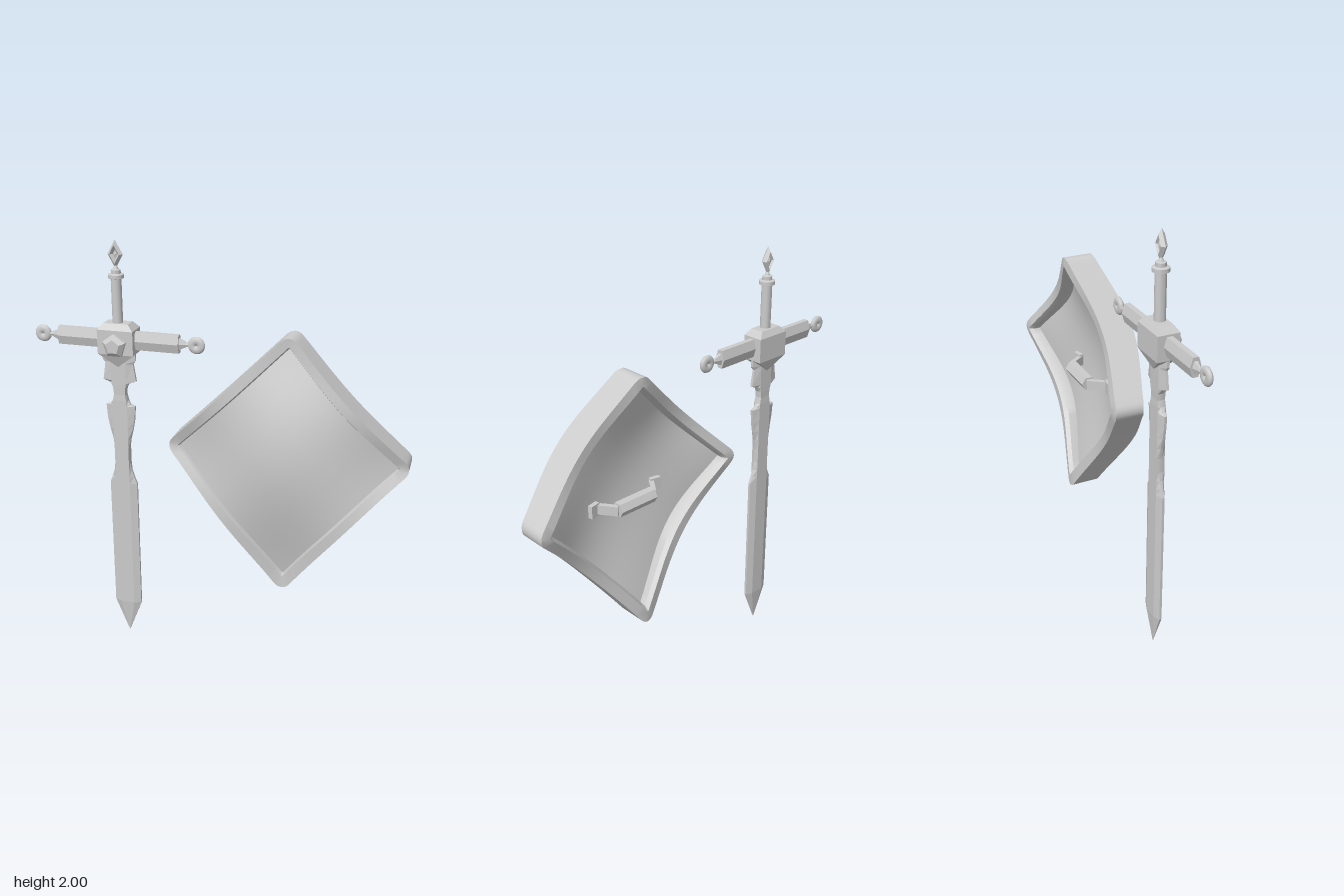
import * as THREE from 'three';
import { toCreasedNormals } from 'three/addons/utils/BufferGeometryUtils.js';

const smooth = new THREE.MeshStandardMaterial({ color: 0xcccccc });
const faceted = new THREE.MeshStandardMaterial({ color: 0xcccccc, flatShading: true });

function add(parent, name, geometry, material, x = 0, y = 0, z = 0) {
  const mesh = new THREE.Mesh(geometry, material);
  mesh.name = name;
  mesh.position.set(x, y, z);
  parent.add(mesh);
  return mesh;
}

// Skin a list of equal-length rings; optionally join the last ring to the first
function loft(rings, closed = false) {
  const n = rings[0].length, index = [];
  const last = closed ? rings.length : rings.length - 1;
  for (let i = 0; i < last; i++) {
    const k = (i + 1) % rings.length;
    for (let j = 0; j < n; j++) {
      const m = (j + 1) % n;
      const a = i * n + j, b = i * n + m, c = k * n + m, d = k * n + j;
      index.push(a, b, c, a, c, d);
    }
  }
  const g = new THREE.BufferGeometry();
  g.setAttribute('position', new THREE.Float32BufferAttribute(rings.flat(2), 3));
  g.setIndex(index);
  return toCreasedNormals(g, 0.5);
}

// ---------- Shield ----------
const HALF = 0.4;

// Turn a square into a diamond whose lower half is stretched
function diamond(a, b) {
  const x = (a - b) * Math.SQRT1_2, y = (a + b) * Math.SQRT1_2;
  return [x, y < 0 ? y - 0.41 * y * y : y];
}

// Forward bow along a side: 1 in the middle, 0 at the corners
const bowAt = (t) => 0.5 * (1 - t * t) + 0.25 * (1 + Math.cos(Math.PI * t));

// Rounded diamond ring whose sides bow forward
function rimRing([half, r, zCorner, bow]) {
  const c = half - r, ring = [], flat = [];
  for (let i = 0; i <= 6; i++) {
    const t = (i / 6) * Math.PI / 2;
    flat.push([c + r * Math.cos(t), c + r * Math.sin(t)]);
  }
  for (let i = 1; i < 20; i++) flat.push([c - 2 * c * i / 20, half]);
  for (let k = 0; k < 4; k++) {
    const co = [1, 0, -1, 0][k], si = [0, 1, 0, -1][k];
    for (const [p, q] of flat) {
      const a = p * co - q * si, b = p * si + q * co;
      const t = Math.min(Math.abs(a), Math.abs(b)) / half;
      ring.push([...diamond(a, b), zCorner + bow * bowAt(t)]);
    }
  }
  return ring;
}

function makeShield() {
  const shield = new THREE.Group();
  shield.name = 'shield';
  shield.position.set(0.334, 1.09, 0);

  // Section: half size, corner radius, z at corners, forward bow
  const section = [
    [HALF, 0.05, -0.118, 0.06], [HALF, 0.05, 0.015, 0.075],
    [0.358, 0.006, 0.015, 0.075], [0.347, 0.004, -0.012, 0.075],
    [0.347, 0.004, -0.095, 0.06], [0.358, 0.006, -0.118, 0.06],
  ];
  add(shield, 'shieldRim', loft(section.map(rimRing), true), smooth);

  // Domed panel
  const panel = new THREE.BoxGeometry(0.704, 0.704, 0.065, 28, 28, 1);
  const p = panel.attributes.position;
  for (let i = 0; i < p.count; i++) {
    const a = p.getX(i), b = p.getY(i);
    const u = bowAt(a / 0.352), v = bowAt(b / 0.352);
    const z = 0.073 * (u + v) - 0.03 * u * v;
    p.setXYZ(i, ...diamond(a, b), z + p.getZ(i) - 0.0325);
  }
  panel.computeVertexNormals();
  add(shield, 'shieldPanel', panel, smooth);

  // Handle on the back: thick grip, slanted arms, foot plates
  const handle = new THREE.Group();
  handle.name = 'shieldHandle';
  handle.position.set(0, -0.06, -0.035);
  shield.add(handle);
  const grip = add(handle, 'handleGrip', new THREE.CylinderGeometry(0.035, 0.035, 0.2, 6), faceted, 0, 0, -0.012);
  grip.rotation.z = Math.PI / 2;
  for (const s of [-1, 1]) {
    const arm = add(handle, 'handleArm', new THREE.BoxGeometry(0.1, 0.045, 0.022), faceted, s * 0.13, 0, 0.02);
    arm.rotation.y = -s * -0.95;
    const foot = add(handle, 'handleFoot', new THREE.BoxGeometry(0.05, 0.06, 0.022), faceted, s * 0.175, 0, 0.055);
    foot.rotation.y = s * 0.2;
    arm.rotation.y = -s * 0.95;
  }
  return shield;
}

// ---------- Sword ----------
function makeSword() {
  const sword = new THREE.Group();
  sword.name = 'sword';
  sword.position.set(-0.467, 0, -0.047);

  // Blade stations: height, half width
  const stations = [
    [0.005, 0.001], [0.18, 0.068], [0.84, 0.068], [0.875, 0.054], [0.91, 0.043],
    [0.95, 0.037], [1.02, 0.037], [1.07, 0.044], [1.12, 0.057], [1.17, 0.066], [1.235, 0.071],
    [1.24, 0.05], [1.26, 0.036], [1.29, 0.029], [1.32, 0.031], [1.345, 0.045],
    [1.358, 0.08], [1.44, 0.067], [1.455, 0.08], [1.5, 0.08],
  ];
  const blade = stations.map(([y, w]) => {
    const c = Math.min(0.035, w * 0.93), h = Math.min(0.019, w * 0.6), e = h * 0.3;
    return [[w, y, e], [w, y, -e], [c, y, -h], [-c, y, -h], [-w, y, -e], [-w, y, e], [-c, y, h], [c, y, h]];
  });
  add(sword, 'blade', loft(blade), faceted);

  // Guard block with sloped top and pointed base: height, half width, half depth
  const block = [
    [1.425, 0.001, 0.022], [1.49, 0.085, 0.05], [1.602, 0.085, 0.05],
    [1.63, 0.058, 0.032], [1.63, 0.001, 0.001],
  ].map(([y, w, d]) => [[w, y, d], [w, y, -d], [-w, y, -d], [-w, y, d]]);
  add(sword, 'guardBlock', loft(block), faceted, 0, 0, -0.003);

  // Five-sided gem on the front
  const gemProfile = [[0.057, 0], [0.057, 0.018], [0.034, 0.037], [0, 0.037]].map(([x, y]) => new THREE.Vector2(x, y));
  const gem = add(sword, 'gem', new THREE.LatheGeometry(gemProfile, 5, Math.PI), faceted, 0, 1.535, 0.046);
  gem.rotation.x = Math.PI / 2;

  // Cross guard: six-sided arms, tapered necks and ring ends
  for (const s of [-1, 1]) {
    const arm = new THREE.Group();
    arm.name = s > 0 ? 'leftGuardArm' : 'rightGuardArm';
    arm.position.y = 1.552;
    arm.rotation.z = -s * Math.PI / 2;
    sword.add(arm);
    const bar = add(arm, 'guardBar', new THREE.CylinderGeometry(0.048, 0.048, 0.24, 6), faceted, 0, 0.17, 0);
    const taper = add(arm, 'guardTaper', new THREE.CylinderGeometry(0.008, 0.03, 0.042, 6), faceted, 0, 0.311, 0);
    bar.scale.z = taper.scale.z = 0.52;
    add(arm, 'guardNeck', new THREE.CylinderGeometry(0.008, 0.008, 0.03, 12), smooth, 0, 0.335, 0);
    const ring = add(arm, 'guardRing', new THREE.TorusGeometry(0.0205, 0.0195, 12, 28), smooth, 0, 0.37, 0);
    ring.scale.z = 0.65;
  }

  // Grip with stepped collar
  const profile = [
    [0, 1.6], [0.024, 1.6], [0.024, 1.828], [0.036, 1.832], [0.036, 1.848], [0.022, 1.852],
    [0.022, 1.868], [0.012, 1.872], [0.007, 1.885], [0, 1.9],
  ].map(([x, y]) => new THREE.Vector2(x, y));
  add(sword, 'grip', toCreasedNormals(new THREE.LatheGeometry(profile, 24), 0.5), smooth);

  // Diamond finial with a recessed middle
  const frame = add(sword, 'finialFrame', new THREE.TorusGeometry(0.023, 0.013, 4, 4), faceted, 0, 1.936, 0);
  frame.scale.set(1, 1.78, 1.1);
  const core = add(sword, 'finialCore', new THREE.OctahedronGeometry(0.022), faceted, 0, 1.936, -0.004);
  core.scale.set(1, 1.78, 0.4);
  return sword;
}

export function createModel() {
  const model = new THREE.Group();
  model.name = 'swordAndShield';
  model.add(makeSword(), makeShield());
  return model;
}
